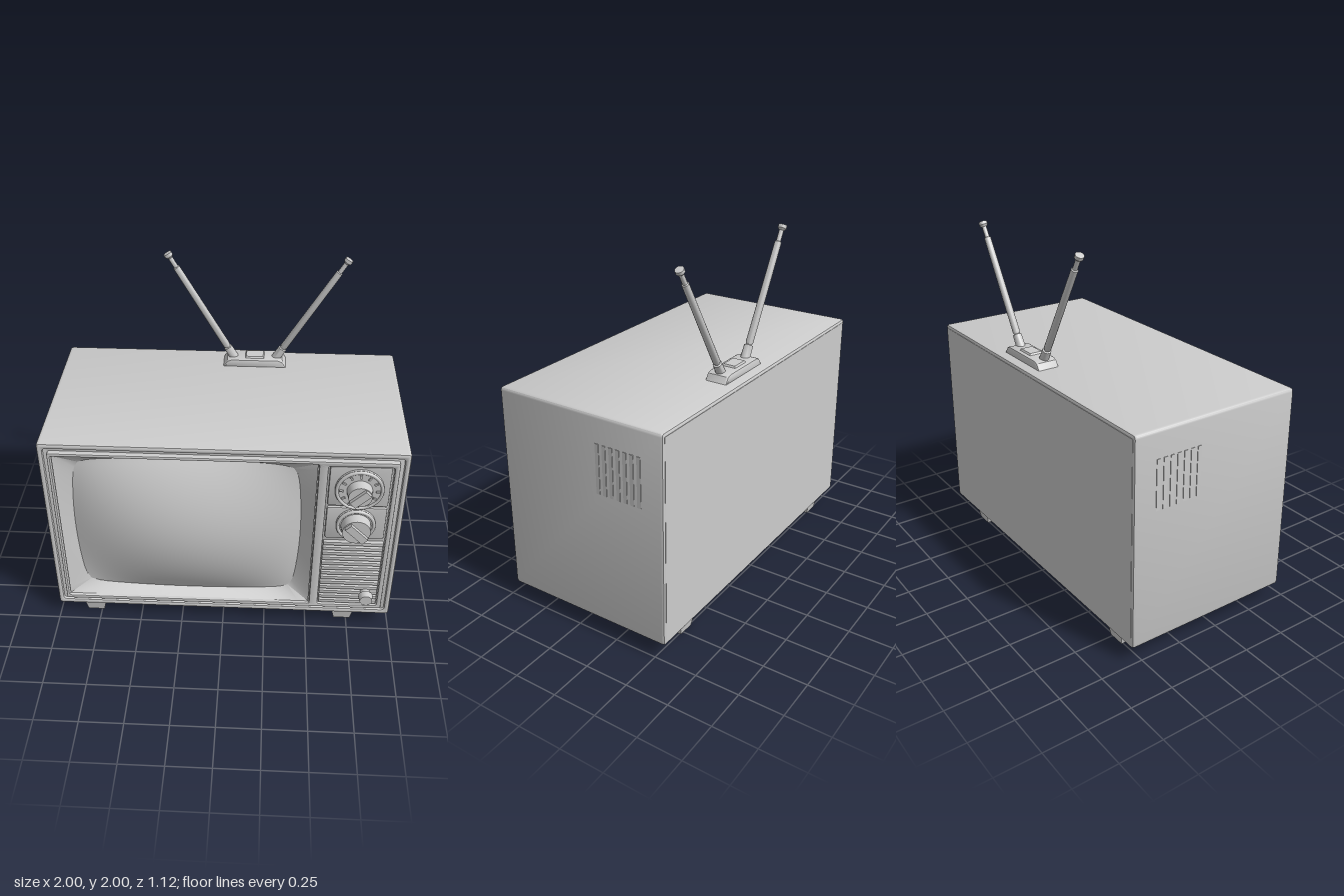
import * as THREE from 'three';
import { toCreasedNormals } from 'three/addons/utils/BufferGeometryUtils.js';

const grey = new THREE.MeshStandardMaterial({ color: 0xcccccc, side: THREE.DoubleSide });
grey.name = 'plain grey';

function add(parent, name, geometry, x = 0, y = 0, z = 0) {
  const mesh = new THREE.Mesh(geometry, grey);
  mesh.name = name;
  mesh.position.set(x, y, z);
  parent.add(mesh);
  return mesh;
}

// Rounded rectangle given by its edges
function rect(x0, x1, y0, y1, r, Type = THREE.Shape) {
  const s = new Type();
  s.moveTo(x0 + r, y0);
  s.lineTo(x1 - r, y0).quadraticCurveTo(x1, y0, x1, y0 + r);
  s.lineTo(x1, y1 - r).quadraticCurveTo(x1, y1, x1 - r, y1);
  s.lineTo(x0 + r, y1).quadraticCurveTo(x0, y1, x0, y1 - r);
  s.lineTo(x0, y0 + r).quadraticCurveTo(x0, y0, x0 + r, y0);
  return s;
}

// Plate between two depths, with a bevel kept inside the outline
function plate(shape, holes, z0, z1, bevel) {
  shape.holes.push(...holes);
  const g = new THREE.ExtrudeGeometry(shape, {
    depth: z1 - z0 - 2 * bevel, bevelEnabled: true, bevelThickness: bevel,
    bevelSize: bevel, bevelOffset: -bevel, bevelSegments: 2, curveSegments: 4,
  });
  g.translate(0, 0, z0 + bevel);
  return toCreasedNormals(g, 0.6);
}

// Box whose bottom is narrowed by kx and kz
function taperedBox(w, h, d, kx, kz) {
  const g = new THREE.BoxGeometry(w, h, d);
  const p = g.attributes.position;
  for (let i = 0; i < p.count; i++) {
    if (p.getY(i) < 0) p.setXYZ(i, p.getX(i) * kx, p.getY(i), p.getZ(i) * kz);
  }
  g.computeVertexNormals();
  return g;
}

// Bowed picture tube: square coordinates (u, v) to a point on the glass
function glass(u, v) {
  const pinch = (a) => 1 - 0.05 * a * a - 0.035 * Math.abs(a) ** 14;
  return [
    -0.205 + 0.645 * u * pinch(v),
    0.7 + 0.485 * v * pinch(u),
    0.41 + 0.143 * (1 - u * u) * (1 - v * v),
  ];
}

function screenGeometry() {
  const g = new THREE.PlaneGeometry(2, 2, 32, 32);
  const p = g.attributes.position;
  for (let i = 0; i < p.count; i++) p.setXYZ(i, ...glass(p.getX(i), p.getY(i)));
  g.computeVertexNormals();
  return g;
}

// Sloping surround from the square opening down to the glass edge
function surroundGeometry() {
  const g = new THREE.PlaneGeometry(1, 1, 96, 1);
  const p = g.attributes.position;
  for (let i = 0; i < p.count; i++) {
    const t = (p.getX(i) + 0.5) * 4;
    const side = Math.min(3, Math.floor(t + 1e-6));
    const a = (t - side) * 2 - 1;
    const [u, v] = [[a, 1], [1, -a], [-a, -1], [-1, a]][side];
    if (p.getY(i) > 0) p.setXYZ(i, -0.205 + 0.715 * u, 0.7 + 0.52 * v, 0.465);
    else p.setXYZ(i, ...glass(u, v));
  }
  return toCreasedNormals(g, 0.5);
}

// Round part facing forward
function disc(r0, r1, z0, z1, sides = 32) {
  return new THREE.CylinderGeometry(r1, r0, z1 - z0, sides)
    .rotateX(Math.PI / 2).translate(0, 0, (z0 + z1) / 2);
}

function dial(parent, name, y, ring, knob, depth, angle, ticks) {
  const g = new THREE.Group();
  g.name = name;
  g.position.set(0.74, y, 0);
  parent.add(g);
  add(g, 'dialRing', disc(ring, ring - 0.008, 0.455, 0.485));
  add(g, 'dialRim', new THREE.TorusGeometry(ring - 0.012, 0.01, 8, 36), 0, 0, 0.483);
  for (let i = 0; i < ticks; i++) {
    const a = (i / ticks) * Math.PI * 2;
    const tick = add(g, 'dialMark', new THREE.BoxGeometry(0.022, 0.01, 0.012),
      Math.cos(a) * (ring - 0.036), Math.sin(a) * (ring - 0.036), 0.488);
    tick.rotation.z = a;
  }
  add(g, 'knob', disc(knob + 0.006, knob, 0.48, depth - 0.022));
  const grip = add(g, 'knobGrip', new THREE.BoxGeometry(knob * 1.8, 0.045, 0.04), 0, 0, depth - 0.02);
  grip.rotation.z = angle;
}

function antenna(parent, name, from, to) {
  const a = new THREE.Vector3(...from), b = new THREE.Vector3(...to);
  const len = a.distanceTo(b);
  const g = new THREE.Group();
  g.name = name;
  g.position.copy(a);
  g.quaternion.setFromUnitVectors(new THREE.Vector3(0, 1, 0), b.sub(a).normalize());
  const profile = [[0, 0], [0.027, 0], [0.025, 0.11], [0.016, 0.115], [0.021, 0.13], [0.019, 0.87],
    [0.013, 0.875], [0.013, 0.955], [0.024, 0.97], [0.024, 0.995], [0, 1]];
  const lathe = new THREE.LatheGeometry(profile.map(([r, t]) => new THREE.Vector2(r, t * len)), 16);
  add(g, 'antennaRod', toCreasedNormals(lathe, 0.6));
  parent.add(g);
}

export function createModel() {
  const model = new THREE.Group();
  model.name = 'television';

  // Cabinet shell and back
  add(model, 'cabinet', plate(rect(-0.997, 0.997, 0.09, 1.295, 0.02),
    [rect(-0.965, 0.965, 0.125, 1.26, 0.02, THREE.Path)], -0.558, 0.465, 0.014));
  add(model, 'backPanel', new THREE.BoxGeometry(1.96, 1.165, 0.04), 0, 0.6925, -0.54);

  // Front trim with openings for screen and controls
  add(model, 'frontFrame', plate(rect(-0.942, 0.942, 0.15, 1.245, 0.015), [
    rect(-0.925, 0.515, 0.175, 1.225, 0.01, THREE.Path),
    rect(0.565, 0.915, 0.175, 1.215, 0.015, THREE.Path),
  ], 0.39, 0.48, 0.007));
  add(model, 'frontBacking', plate(rect(-0.98, 0.98, 0.11, 1.28, 0.01),
    [rect(-0.92, 0.51, 0.18, 1.22, 0.01, THREE.Path)], 0.38, 0.45, 0.003));
  add(model, 'screenSurround', surroundGeometry());
  add(model, 'screen', screenGeometry());

  // Control panel
  const controls = new THREE.Group();
  controls.name = 'controls';
  model.add(controls);
  add(controls, 'upperDialPlate', plate(rect(0.575, 0.905, 0.935, 1.205, 0.015), [], 0.44, 0.466, 0.006));
  add(controls, 'lowerDialPlate', plate(rect(0.575, 0.905, 0.695, 0.922, 0.015), [], 0.44, 0.466, 0.006));
  dial(controls, 'upperDial', 1.06, 0.135, 0.064, 0.565, Math.PI / 4, 12);
  dial(controls, 'lowerDial', 0.81, 0.112, 0.078, 0.565, -Math.PI / 4, 0);
  for (let i = 0; i < 13; i++) {
    add(controls, 'speakerSlat', plate(rect(0.57, 0.91, 0, 0.024, 0.004), [], 0.44, 0.474, 0.005),
      0, 0.183 + i * 0.0385, 0);
  }
  add(controls, 'smallKnobStem', disc(0.028, 0.028, 0.45, 0.51, 20), 0.84, 0.28);
  add(controls, 'smallKnob', disc(0.042, 0.036, 0.505, 0.545, 20), 0.84, 0.28);

  // Side vents
  for (const s of [-1, 1]) {
    for (let i = 0; i < 7; i++) {
      add(model, 'ventSlat', new THREE.BoxGeometry(0.012, 0.28, 0.022), s * 0.994, 1, -0.165 - i * 0.042);
    }
  }

  // Feet and underside tray
  for (const x of [-0.785, 0.725]) {
    for (const z of [0.385, -0.475]) {
      add(model, 'foot', taperedBox(0.14, 0.1, 0.1, 0.7, 0.7), x, 0.05, z);
    }
  }
  add(model, 'undersideTray', taperedBox(0.96, 0.08, 0.84, 0.95, 0.93), -0.25, 0.06, -0.04);

  // Antenna base and rods
  const base = new THREE.Shape([[-0.19, 0], [0.19, 0], [0.165, 0.04], [0.14, 0.05], [-0.14, 0.05], [-0.165, 0.04]]
    .map(([x, y]) => new THREE.Vector2(x, y)));
  add(model, 'antennaBase', plate(base, [], -0.065, 0.065, 0.012), 0.15, 1.29, -0.435);
  add(model, 'antennaBaseCap', taperedBox(0.1, 0.012, 0.07, 1.15, 1.2), 0.15, 1.344, -0.435);
  antenna(model, 'rightAntenna', [0.03, 1.32, -0.43], [-0.357, 1.995, -0.43]);
  antenna(model, 'leftAntenna', [0.27, 1.32, -0.43], [0.67, 1.98, -0.43]);

  return model;
}
